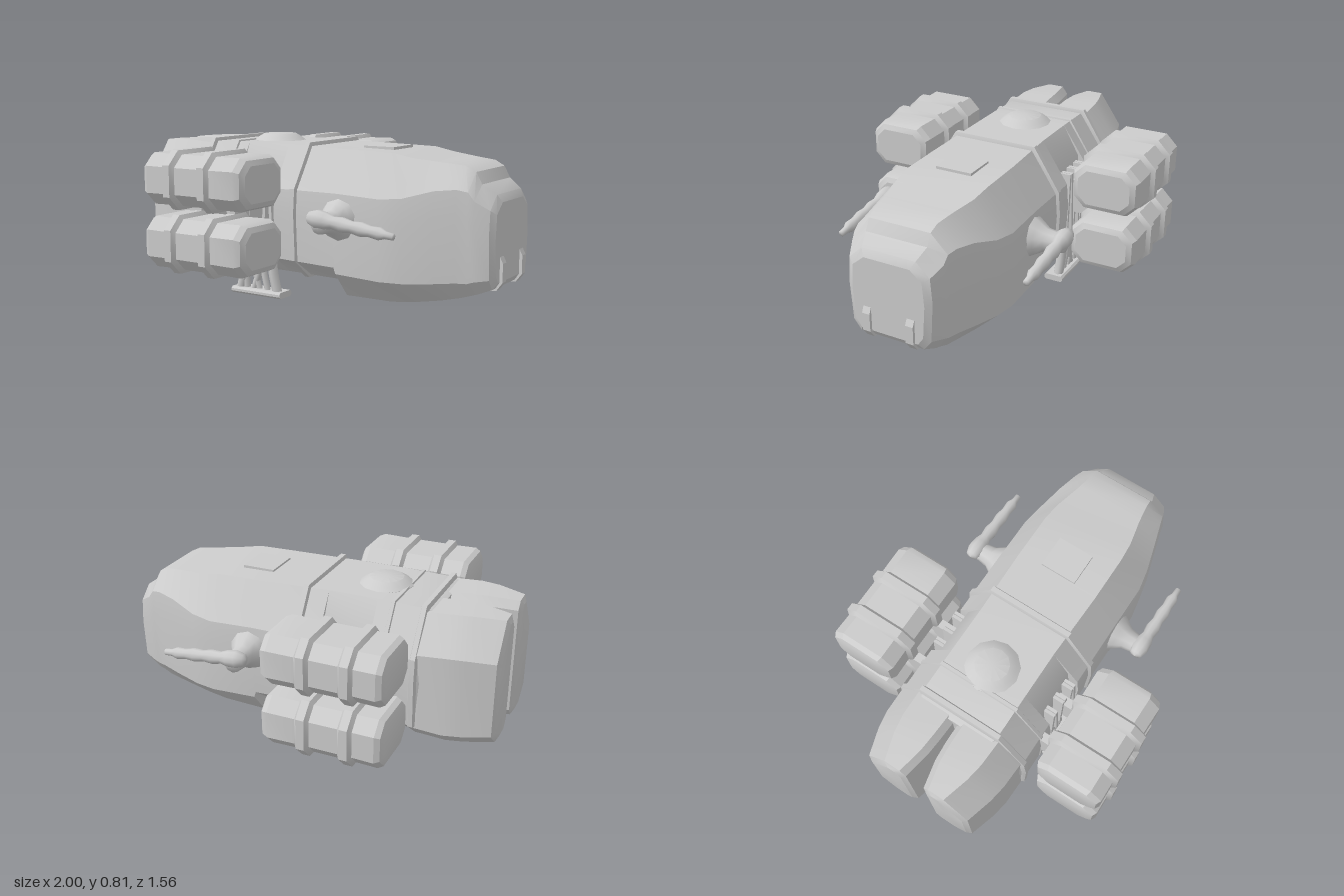
import * as THREE from 'three';
import { toCreasedNormals } from 'three/addons/utils/BufferGeometryUtils.js';

const grey = new THREE.MeshStandardMaterial({ color: 0xcccccc });

// Skin a row of closed rings running from low x to high x, with flat caps.
function loft(rings, crease = 0.45) {
  const p = [];
  const n = rings[0].length;
  const tri = (...v) => v.forEach(q => p.push(...q));
  const centre = r => [0, 1, 2].map(k => r.reduce((s, q) => s + q[k], 0) / n);
  const first = rings[0], last = rings[rings.length - 1];
  const c0 = centre(first), c1 = centre(last);
  for (let j = 0; j < n; j++) {
    const k = (j + 1) % n;
    for (let i = 0; i < rings.length - 1; i++) {
      const a = rings[i], b = rings[i + 1];
      tri(a[j], a[k], b[k]);
      tri(a[j], b[k], b[j]);
    }
    tri(c0, first[k], first[j]);
    tri(c1, last[j], last[k]);
  }
  const g = new THREE.BufferGeometry();
  g.setAttribute('position', new THREE.Float32BufferAttribute(p, 3));
  return toCreasedNormals(g, crease);
}

// Symmetric hull ring: bottom, top, half widths and the two side corners.
function hullRing([x, yb, yt, wb, wm, wt, lo, hi]) {
  const half = [[wb, yb], [wm - 0.012, lo], [wm, hi - 0.12], [wm - 0.01, hi], [wt, yt]];
  return [
    ...half.map(([w, y]) => [x, y, -w]),
    ...half.reverse().map(([w, y]) => [x, y, w]),
  ];
}

// Chamfered rectangle in the y-z plane.
function boxRing(x, zc, yc, hz, hy, c) {
  return [[-hz + c, -hy], [-hz, -hy + c], [-hz, hy - c], [-hz + c, hy],
    [hz - c, hy], [hz, hy - c], [hz, -hy + c], [hz - c, -hy]]
    .map(([z, y]) => [x, yc + y, zc + z]);
}

const mirrored = rings => rings.map(r => r.map(([x, y, z]) => [x, y, -z]).reverse());

export function createModel() {
  const model = new THREE.Group();
  const add = (name, geo, x = 0, y = 0, z = 0, parent = model) => {
    const m = new THREE.Mesh(geo, grey);
    m.name = name;
    m.position.set(x, y, z);
    parent.add(m);
    return m;
  };
  const tube = (pts, r) => new THREE.TubeGeometry(
    new THREE.CatmullRomCurve3(pts.map(q => new THREE.Vector3(...q))), 8, r, 7);

  // Main hull: x, bottom, top, bottom/mid/top half widths, lower/upper corners
  add('hull', loft([
    [-0.66, 0.14, 0.75, 0.20, 0.33, 0.19, 0.22, 0.56],
    [-0.62, 0.12, 0.765, 0.22, 0.36, 0.21, 0.21, 0.56],
    [-0.38, 0.12, 0.77, 0.22, 0.36, 0.21, 0.21, 0.56],
    [-0.375, 0.12, 0.77, 0.22, 0.305, 0.21, 0.21, 0.62],
    [-0.13, 0.12, 0.77, 0.22, 0.305, 0.21, 0.21, 0.62],
    [-0.125, 0.12, 0.77, 0.22, 0.36, 0.21, 0.21, 0.56],
    [0.22, 0.12, 0.76, 0.24, 0.36, 0.22, 0.20, 0.56],
    [0.23, 0.045, 0.76, 0.24, 0.36, 0.22, 0.17, 0.56],
    [0.47, 0.04, 0.755, 0.22, 0.36, 0.22, 0.16, 0.55],
    [0.58, 0.05, 0.735, 0.21, 0.34, 0.21, 0.16, 0.56],
    [0.72, 0.075, 0.72, 0.20, 0.30, 0.18, 0.17, 0.60],
    [0.82, 0.10, 0.71, 0.20, 0.27, 0.165, 0.18, 0.61],
    [0.87, 0.115, 0.685, 0.19, 0.255, 0.16, 0.18, 0.60],
    [0.90, 0.125, 0.63, 0.19, 0.25, 0.16, 0.19, 0.56],
    [0.965, 0.15, 0.585, 0.17, 0.22, 0.14, 0.20, 0.52],
    [0.985, 0.18, 0.55, 0.15, 0.19, 0.12, 0.22, 0.50],
  ].map(hullRing)));

  // Raised hull bands: x centre, half length, amount proud of the hull
  [[-0.61, 0.02, 0.012], [-0.455, 0.014, 0.006], [-0.01, 0.022, 0.014]].forEach(([x, h, d]) => {
    const band = (px, e) => hullRing([px, 0.12 - e, 0.77 + e, 0.22 + e, 0.36 + e, 0.21 + e, 0.21, 0.56 + e / 2]);
    add('hullBand', loft([band(x - h, -0.005), band(x - h * 0.6, d), band(x + h * 0.6, d), band(x + h, -0.005)]));
  });

  // Turret dome on the roof
  add('roofTurret', toCreasedNormals(new THREE.LatheGeometry(
    [[0.135, 0.72], [0.135, 0.77], [0.115, 0.785], [0.085, 0.803], [0, 0.808]]
      .map(q => new THREE.Vector2(...q)), 12), 0.5), -0.34, 0, 0);

  // Roof hatch and brow panel
  add('roofHatch', new THREE.BoxGeometry(0.17, 0.03, 0.19), 0.32, 0.755, 0);

  // Belly foot under the nose
  add('bellySkid', loft([boxRing(0.24, 0, 0.035, 0.08, 0.035, 0.02), boxRing(0.42, 0, 0.035, 0.08, 0.035, 0.02)]));

  // Engine ring, inner to outer: x, inner z, outer z, bottom, top
  const engineRing = ([x, zi, zo, yb, yt]) => [
    [zi + 0.03, yb], [zi, yb + 0.04], [zi, yt - 0.04], [zi + 0.03, yt],
    [zo - 0.12, yt], [zo, yt - 0.17], [zo, yb + 0.07], [zo - 0.08, yb],
  ].map(([z, y]) => [x, y, z]);
  const engine = [
    [-1.0, 0.075, 0.26, 0.16, 0.73],
    [-0.985, 0.05, 0.285, 0.135, 0.755],
    [-0.85, 0.022, 0.325, 0.125, 0.765],
    [-0.76, 0.015, 0.34, 0.12, 0.765],
    [-0.62, 0.01, 0.345, 0.13, 0.755],
  ].map(engineRing);

  // Container profile: x, inset of the outline
  const podProfile = [[-0.62, 0.05], [-0.61, 0.025], [-0.585, 0.012], [-0.48, 0.014], [-0.465, -0.006], [-0.425, -0.006],
    [-0.41, 0.014], [-0.27, 0.014], [-0.255, -0.006], [-0.215, -0.006], [-0.20, 0.014],
    [-0.06, 0.012], [-0.03, 0.025], [-0.015, 0.05]];

  // Gun body: radius, distance from the rear
  const gunProfile = [[0, 0], [0.03, 0.01], [0.045, 0.05], [0.042, 0.1], [0.03, 0.14], [0.036, 0.19],
    [0.028, 0.24], [0.034, 0.29], [0.026, 0.34], [0.03, 0.39], [0.018, 0.42], [0.016, 0.46], [0, 0.46]];

  for (const s of [1, -1]) {
    const side = new THREE.Group();
    side.name = s > 0 ? 'leftSide' : 'rightSide';
    model.add(side);
    const put = (name, geo, x, y, z) => add(name, geo, x, y, z, side);

    put('engine', loft(s > 0 ? engine : mirrored(engine)));

    // Two stacked containers with ribs
    for (const y of [0.305, 0.617]) {
      put('container', loft(podProfile.map(([x, d]) =>
        boxRing(x, s * 0.59, y, 0.185 - d, 0.138 - d, 0.065 - d * 0.4))));
    }
    // Brackets joining containers to each other and to the hull
    for (const x of [-0.445, -0.235]) {
      put('containerLink', new THREE.BoxGeometry(0.04, 0.1, 0.12), x, 0.46, s * 0.49);
      put('containerBracket', new THREE.BoxGeometry(0.045, 0.18, 0.13), x, 0.46, s * 0.37);
    }

    // Upright fins in the side recess
    for (let i = 0; i < 6; i++) {
      const fin = put('recessFin', new THREE.BoxGeometry(0.016, 0.34, 0.06), -0.35 + i * 0.04, 0.43, s * 0.325);
      fin.rotation.z = i % 2 ? 0.06 : -0.06;
    }

    // Rear landing leg: splayed struts on a foot plate
    put('legFoot', loft([boxRing(-0.405, s * 0.3, 0.016, 0.052, 0.016, 0.01),
      boxRing(-0.10, s * 0.3, 0.016, 0.052, 0.016, 0.01)]));
    [[-0.37, -0.31, 0.026], [-0.33, -0.34, 0.018], [-0.29, -0.21, 0.018],
      [-0.25, -0.30, 0.016], [-0.20, -0.24, 0.016], [-0.14, -0.18, 0.026]].forEach(([x0, x1, r]) =>
      put('legStrut', tube([[x0, 0.02, s * 0.31], [(x0 + x1) / 2, 0.12, s * 0.315], [x1, 0.28, s * 0.315]], r)));

    // Gun on a tapering arm
    const arm = new THREE.LatheGeometry(
      [[0.115, 0], [0.085, 0.05], [0.058, 0.09], [0.05, 0.14], [0.045, 0.19], [0, 0.2]]
        .map(q => new THREE.Vector2(...q)), 10);
    const armMesh = put('gunArm', arm, 0.25, 0.435, s * 0.33);
    armMesh.rotation.x = s * Math.PI / 2;
    const gun = put('gun', new THREE.LatheGeometry(gunProfile.map(q => new THREE.Vector2(...q)), 10),
      0.18, 0.465, s * 0.505);
    gun.rotation.z = -Math.PI / 2 - 0.11;

    // Chin fin at the nose
    const chin = new THREE.Shape([[0.90, 0.13], [0.97, 0.14], [1.0, 0.18], [1.0, 0.27], [0.985, 0.30], [0.90, 0.31]]
      .map(q => new THREE.Vector2(...q)));
    put('chinFin', new THREE.ExtrudeGeometry(chin, { depth: 0.04, bevelEnabled: false }), 0, 0, s * 0.115 - 0.02);
  }
  return model;
}
